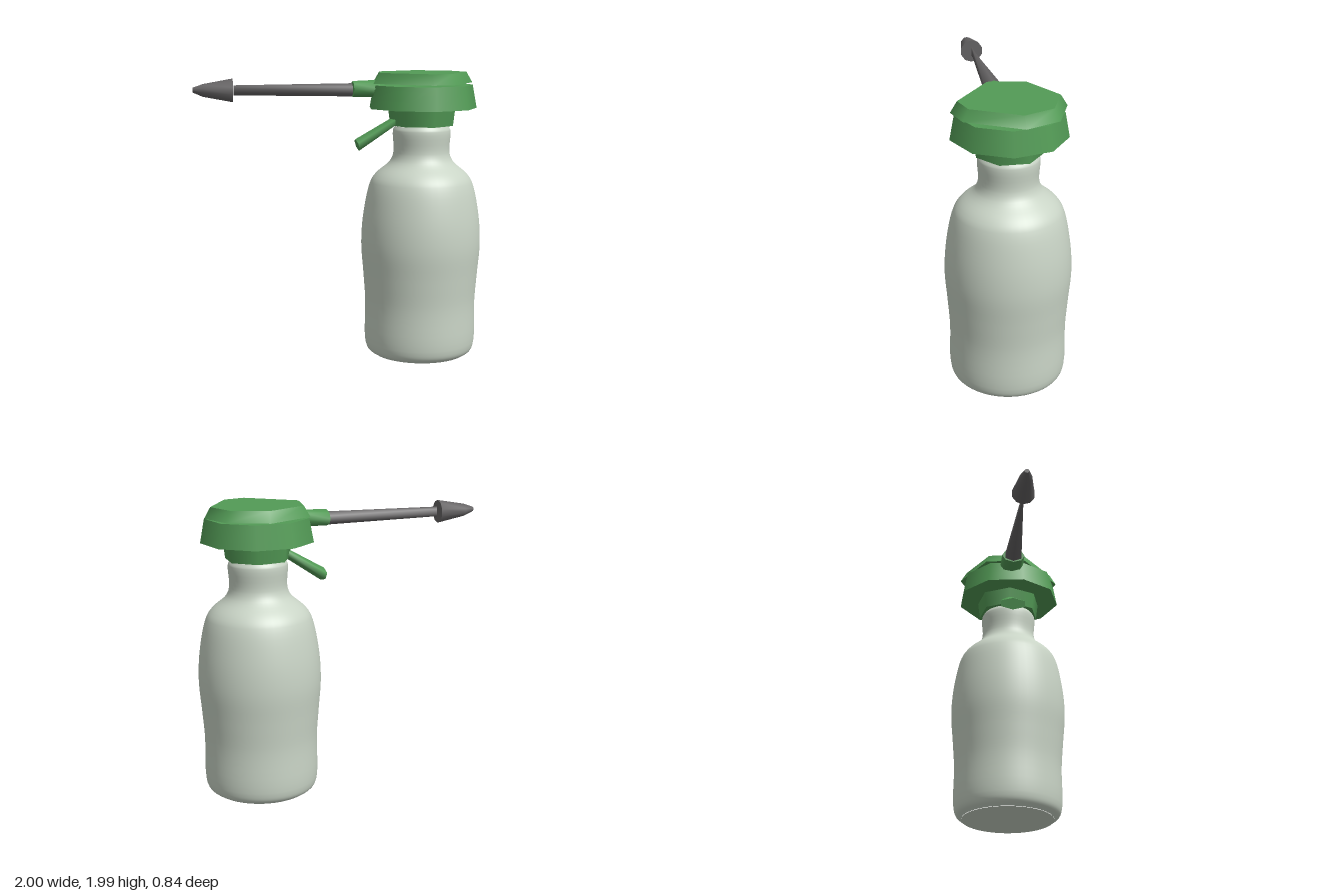
import * as THREE from 'three';

// Skin a run of equal-count rings, smooth around the sides, with flat end caps.
// Rings run clockwise when seen against the direction of advance.
function loft(rings) {
  const n = rings[0].length;
  const pos = [], idx = [];
  const add = (p) => { pos.push(p[0], p[1], p[2]); return pos.length / 3 - 1; };
  rings.forEach((r) => r.forEach(add));
  for (let k = 0; k < rings.length - 1; k++) {
    for (let i = 0; i < n; i++) {
      const j = (i + 1) % n;
      const a = k * n + i, b = k * n + j, c = a + n, d = b + n;
      idx.push(a, c, b, b, c, d);
    }
  }
  const first = rings[0].map(add);
  const last = rings[rings.length - 1].map(add);
  for (let i = 1; i < n - 1; i++) {
    idx.push(first[0], first[i], first[i + 1]);
    idx.push(last[0], last[i + 1], last[i]);
  }
  const g = new THREE.BufferGeometry();
  g.setAttribute('position', new THREE.Float32BufferAttribute(pos, 3));
  g.setIndex(idx);
  g.computeVertexNormals();
  return g;
}

// Oval ring spanned by an in-plane direction (ux, uy) and the z axis.
function oval(x, y, ux, uy, h, w, sides) {
  return Array.from({ length: sides }, (_, i) => {
    const t = (i / sides) * Math.PI * 2;
    const c = Math.cos(t) * h;
    return [x + ux * c, y + uy * c, Math.sin(t) * w];
  });
}

export function createModel() {
  const model = new THREE.Group();
  const bottleMat = new THREE.MeshStandardMaterial({ color: 0xc9d4c6 });
  bottleMat.name = 'pale bottle';
  const greenMat = new THREE.MeshStandardMaterial({ color: 0x539b56 });
  greenMat.name = 'green plastic';
  const greyMat = new THREE.MeshStandardMaterial({ color: 0x656364 });
  greyMat.name = 'dark grey';

  const cx = 0.577; // axis of the bottle
  const part = (name, geometry, material, x = 0, y = 0) => {
    const m = new THREE.Mesh(geometry, material);
    m.name = name;
    m.position.set(x, y, 0);
    model.add(m);
    return m;
  };

  // Bottle: rounded foot, soft waist, shoulder and neck
  const curve = new THREE.CatmullRomCurve3([
    [0.33, 0.005], [0.37, 0.035], [0.388, 0.1], [0.388, 0.38], [0.402, 0.58],
    [0.418, 0.8], [0.402, 1.02], [0.355, 1.23], [0.315, 1.29], [0.22, 1.375],
    [0.195, 1.44], [0.2, 1.59], [0.185, 1.62],
  ].map(([r, y]) => new THREE.Vector3(r, y, 0)), false, 'centripetal');
  const side = curve.getPoints(60).map((p) => new THREE.Vector2(p.x, p.y));
  part('bottle', new THREE.LatheGeometry(side, 48), bottleMat, cx);
  const base = part('bottleBase', new THREE.CircleGeometry(0.33, 48), bottleMat, cx, 0.002);
  base.rotation.x = Math.PI / 2;
  const mouth = part('bottleMouth', new THREE.CircleGeometry(0.186, 48), bottleMat, cx, 1.62);
  mouth.rotation.x = -Math.PI / 2;

  // Collar and main cap, few-sided
  const collar = part('collar', new THREE.CylinderGeometry(0.237, 0.222, 0.12, 7), greenMat, cx, 1.685);
  collar.rotation.y = 0.2;
  const cap = part('cap', new THREE.CylinderGeometry(0.35, 0.38, 0.16, 9), greenMat, cx, 1.825);
  cap.rotation.y = 0.05;

  // Lid: uneven seven-sided plate narrowing upward
  const outline = [
    [0.01, -0.37], [0.27, -0.26], [0.363, -0.03], [0.17, 0.32],
    [0.0, 0.37], [-0.355, 0.09], [-0.31, -0.19],
  ];
  const lidRing = (s, y) => outline.map(([x, z]) => [x * s, y, z * s]);
  part('lid', loft([lidRing(1, 1.917), lidRing(0.88, 1.99)]), greenMat, cx);

  // Nozzle socket
  part('nozzleSocket', loft([
    oval(0.27, 1.882, 0, 1, 0.058, 0.085, 8),
    oval(0.09, 1.878, 0, 1, 0.055, 0.083, 8),
  ]), greenMat);

  // Trigger lever, widening toward its lower end
  part('trigger', loft([
    oval(0.4, 1.665, -0.3, 0.95, 0.03, 0.065, 6),
    oval(0.123, 1.492, -0.3, 0.95, 0.043, 0.1, 6),
  ]), greenMat);

  // Spray tube, thinning to a vertical edge
  part('sprayTube', loft([
    oval(0.085, 1.873, 0, 1, 0.045, 0.068, 6),
    oval(-0.725, 1.876, 0, 1, 0.034, 0.003, 6),
  ]), greyMat);

  // Pointed tip
  part('tip', loft([
    oval(-0.73, 1.876, 0, 1, 0.08, 0.08, 10),
    oval(-0.93, 1.877, 0, 1, 0.043, 0.043, 10),
    oval(-1, 1.88, 0, 1, 0.016, 0.016, 10),
  ]), greyMat);

  return model;
}
